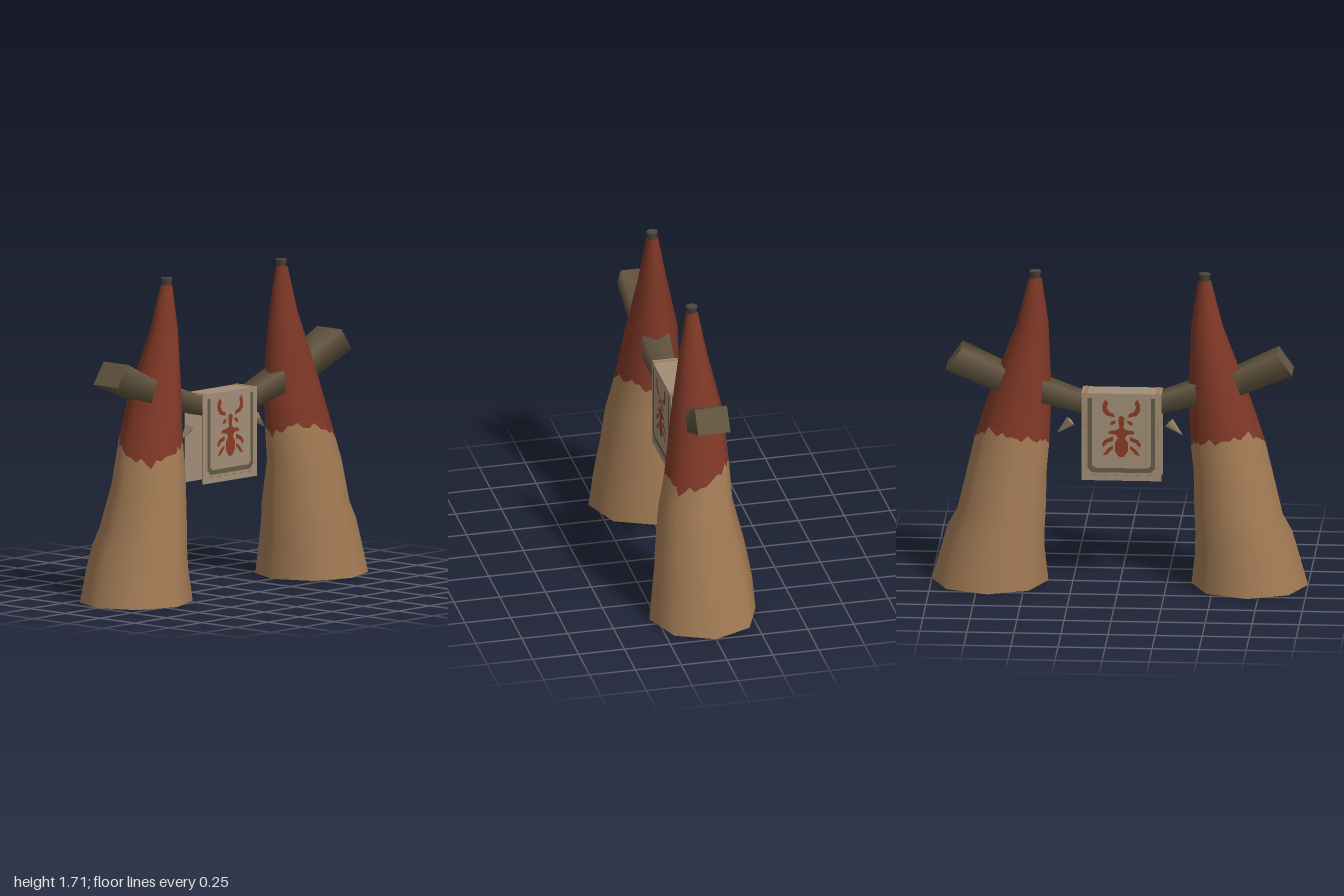
import * as THREE from 'three';

const mat = (name, color, side = THREE.FrontSide) => {
  const m = new THREE.MeshStandardMaterial({ color, side });
  m.name = name;
  return m;
};

// Tusk silhouette rings: height, inner x, outer x, front z, back z
const RINGS = [
  [0, .38, 1, .29, -.29], [.18, .40, .95, .27, -.275], [.3, .40, .915, .255, -.255],
  [.39, .395, .865, .245, -.24], [.62, .39, .81, .22, -.185], [.82, .37, .765, .175, -.175],
  [1.1, .365, .67, .135, -.155], [1.43, .38, .545, .075, -.08],
  [1.67, .415, .485, .033, -.033], [1.675, .449, .451, .001, -.001],
];
const SIDES = 8, SUB = 5, AROUND = SIDES * SUB;
// Paint edge height at each of the eight corners, from the outer side round the front
const PAINT = [.79, .745, .81, .83, .77, .8, .83, .86];

function ringAt(y) {
  let i = 0;
  while (i < RINGS.length - 2 && RINGS[i + 1][0] < y) i++;
  const a = RINGS[i], b = RINGS[i + 1], t = (y - a[0]) / (b[0] - a[0]);
  return a.map((v, k) => v + (b[k] - v) * t);
}

function cornerAt(k, r) {
  const a = (k % SIDES) * Math.PI * 2 / SIDES;
  const [y, xi, xo, zf, zb] = r;
  // the inner edge grows sharper towards the top
  const sharp = Math.cos(a) < -.1 && Math.cos(a) > -.9 ? 1 - .25 * Math.min(1, y) : 1;
  const s = Math.sin(a) * sharp;
  return new THREE.Vector3((xi + xo) / 2 + Math.cos(a) * (xo - xi) / 2, y,
    (zf + zb) / 2 + s * (zf - zb) / 2);
}

function paintEdge(j) {
  j %= AROUND;
  const k = Math.floor(j / SUB), t = (j % SUB) / SUB;
  const base = PAINT[k] + (PAINT[(k + 1) % SIDES] - PAINT[k]) * t;
  return base + .014 * Math.sin(j * 2.4) + .008 * Math.sin(j * 4.7);
}

// Eight-sided skin through rows of heights; a row may vary around the tusk
function tuskSkin(rows) {
  const pos = [], nor = [], idx = [], W = AROUND + 1;
  rows.forEach((row, i) => {
    for (let j = 0; j <= AROUND; j++) {
      const r = ringAt(typeof row === 'function' ? row(j) : row);
      const k = Math.floor(j / SUB);
      const p = cornerAt(k, r).lerp(cornerAt(k + 1, r), (j % SUB) / SUB);
      const a = j / AROUND * Math.PI * 2;
      const n = new THREE.Vector3(Math.cos(a), .15 + .12 * Math.cos(a), Math.sin(a)).normalize();
      pos.push(p.x, p.y, p.z);
      nor.push(n.x, n.y, n.z);
      if (i && j) {
        const d = i * W + j, c = d - 1, b = d - W, e = b - 1;
        idx.push(e, c, d, e, d, b);
      }
    }
  });
  const g = new THREE.BufferGeometry();
  g.setAttribute('position', new THREE.Float32BufferAttribute(pos, 3));
  g.setAttribute('normal', new THREE.Float32BufferAttribute(nor, 3));
  g.setIndex(idx);
  return g;
}

// Square beam lofted through sections: top x, top y, bottom x, bottom y, half depth
function beamGeometry() {
  const half = [[0, 1.045, 0, .935, .055], [.22, 1.052, .2, .945, .057],
    [.44, 1.13, .36, .99, .075], [.6, 1.18, .63, 1.06, .082], [.84, 1.295, .92, 1.18, .088]];
  const secs = [...half.slice(1).reverse().map(([a, b, c, d, h]) => [-a, b, -c, d, h]), ...half];
  const pos = [], idx = [];
  const corners = ([a, b, c, d, h]) => [a, b, h, a, b, -h, c, d, -h, c, d, h];
  secs.forEach((s, i) => {
    pos.push(...corners(s));
    if (i) for (let j = 0; j < 4; j++) {
      const k = (j + 1) % 4, a = (i - 1) * 4, b = i * 4;
      idx.push(a + j, b + j, b + k, a + j, b + k, a + k);
    }
  });
  // separate end faces keep the cut ends crisp
  const n = secs.length * 4;
  pos.push(...corners(secs[0]), ...corners(secs[secs.length - 1]));
  idx.push(n, n + 1, n + 2, n, n + 2, n + 3, n + 4, n + 6, n + 5, n + 4, n + 7, n + 6);
  const g = new THREE.BufferGeometry();
  g.setAttribute('position', new THREE.Float32BufferAttribute(pos, 3));
  g.setIndex(idx);
  g.computeVertexNormals();
  return g;
}

const poly = pts => new THREE.Shape(pts.map(([x, y]) => new THREE.Vector2(x, y)));

export function createModel() {
  const D = THREE.DoubleSide;
  const hide = mat('tan horn', 0xa17a54, D), red = mat('red paint', 0x7f3826, D);
  const wood = mat('dark wood', 0x61543f), stud = mat('dark stud', 0x4b473d);
  const cloth = mat('pale cloth', 0xa08d76, D), trim = mat('olive trim', 0x635a46, D);
  const emblem = mat('emblem red', 0x8a3a24, D), bone = mat('bone', 0x98856c);

  const model = new THREE.Group();
  model.name = 'gate';
  const add = (parent, name, geo, m, x = 0, y = 0, z = 0) => {
    const mesh = new THREE.Mesh(geo, m);
    mesh.name = name;
    mesh.position.set(x, y, z);
    parent.add(mesh);
    return mesh;
  };

  // Mirrored tusks, each with a stud on the tip and a hanging tooth
  const lower = tuskSkin([0, .18, .3, .39, .62, paintEdge]);
  const upper = tuskSkin([paintEdge, .95, 1.1, 1.25, 1.43, 1.67, 1.675]);
  for (const [name, s] of [['left', 1], ['right', -1]]) {
    const side = new THREE.Group();
    side.name = name + 'Post';
    side.scale.x = s;
    model.add(side);
    add(side, 'tuskBase', lower, hide);
    add(side, 'tuskPaintedTip', upper, red);
    add(side, 'tipStud', new THREE.CylinderGeometry(.032, .023, .042, 8), stud, .45, 1.689, 0);
    const tooth = add(side, 'tooth', new THREE.ConeGeometry(.03, .1, 4), bone, .298, .852, -.012);
    tooth.rotation.z = -Math.PI * .735;
  }

  // Crossbeam
  add(model, 'crossbeam', beamGeometry(), wood, 0, 0, -.01);

  // Banner folded over the beam
  const banner = new THREE.Group();
  banner.name = 'banner';
  banner.position.set(-.0125, 0, -.0125);
  model.add(banner);
  add(banner, 'bannerTop', new THREE.BoxGeometry(.425, .006, .134), cloth, 0, 1.057, 0);
  for (const x of [-.19, .19])
    add(banner, 'topStripe', new THREE.BoxGeometry(.018, .003, .136), hide, x, 1.0605, 0);

  // U-shaped border with cut corners
  const border = poly([[-.18, 1.035], [-.18, .65], [-.155, .625], [.155, .625], [.18, .65],
    [.18, 1.035], [.157, 1.035], [.157, .665], [.14, .65], [-.14, .65], [-.157, .665], [-.157, 1.035]]);
  // Beetle emblem, one half of each piece
  const halves = [
    [[.085, 1.03], [.1, 1.0], [.1, .965], [.08, .94], [.035, .93], [.04, .95], [.065, .96], [.078, .985], [.07, 1.01]],
    [[0, .94], [.016, .93], [.012, .87], [.03, .86], [.065, .855], [.07, .84], [.03, .835],
      [.018, .815], [.035, .79], [.035, .745], [.015, .715], [0, .71]],
    [[.045, .825], [.09, .805], [.105, .78], [.095, .765], [.075, .79], [.045, .8]],
    [[.045, .775], [.075, .755], [.1, .72], [.075, .725], [.055, .75], [.045, .755]],
    [[.03, .915], [.058, .905], [.058, .885], [.035, .895]],
  ];
  const bug = [1, -1].flatMap(s => halves.map(h => poly(h.map(([x, y]) => [x * s, y]))));

  for (const [name, turn] of [['front', 0], ['back', Math.PI]]) {
    const panel = new THREE.Group();
    panel.name = name + 'Panel';
    panel.rotation.y = turn;
    banner.add(panel);
    add(panel, 'panelCloth', new THREE.BoxGeometry(.425, .48, .006), cloth, 0, .82, .064);
    add(panel, 'border', new THREE.ShapeGeometry(border), trim, 0, 0, .0695);
    add(panel, 'beetleEmblem', new THREE.ShapeGeometry(bug), emblem, 0, 0, .07);
    // worn edge stains
    for (let i = 0; i < 6; i++) {
      add(panel, 'bottomStain', new THREE.PlaneGeometry(.03, .01), hide, -.15 + i * .06, .612, .0695);
      for (const s of [-1, 1])
        add(panel, 'sideStain', new THREE.PlaneGeometry(.008, .025), hide, s * .19, .66 + i * .055, .0695);
    }
  }
  return model;
}
